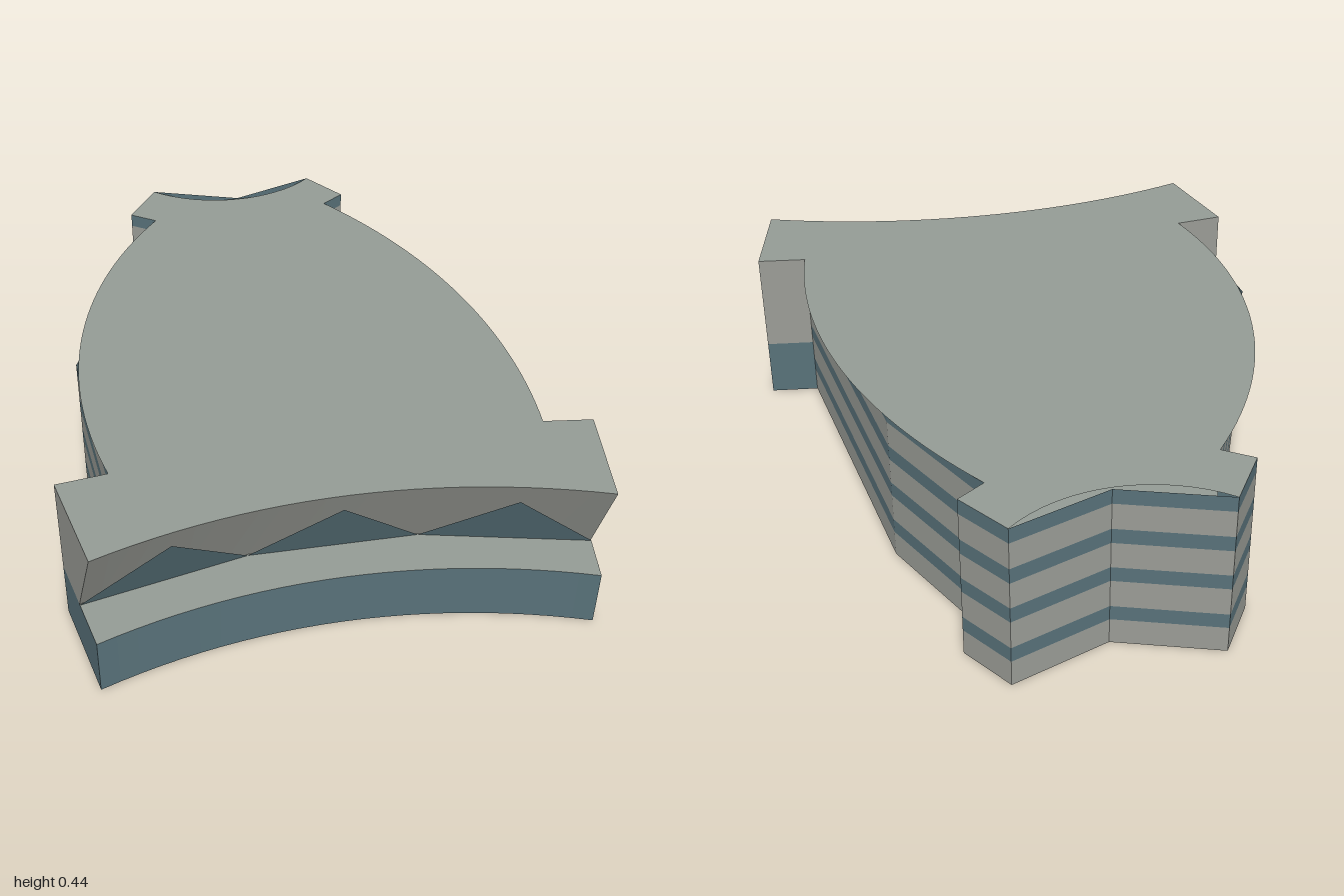
import * as THREE from 'three';

const H = 0.445, PODIUM = 0.165;
const BANDS = [0, 0.07, 0.11, 0.185, 0.225, 0.295, 0.335, 0.405, H];

const material = (name, color) =>
  new THREE.MeshStandardMaterial({ name, color, side: THREE.DoubleSide });

// Plan arc from a to b as [x, z] points, bulging by sag to the right of travel seen from above
function arc(a, b, sag, n) {
  const dx = b[0] - a[0], dz = b[1] - a[1], len = Math.hypot(dx, dz);
  const s = Math.abs(sag), r = (len * len / 4 + s * s) / (2 * s);
  const half = Math.asin(len / 2 / r);
  return Array.from({ length: n + 1 }, (_, i) => {
    const t = (i / n * 2 - 1) * half;
    const along = 0.5 + r * Math.sin(t) / len;
    const off = Math.sign(sag) * (r * Math.cos(t) - r + s) / len;
    return [a[0] + dx * along - dz * off, a[1] + dz * along + dx * off];
  });
}

// Flat-shaded quads between two rows of plan points at two heights
function strip(low, y0, high, y1) {
  const p = [];
  for (let i = 0; i < low.length - 1; i++) {
    const a = [low[i][0], y0, low[i][1]], b = [low[i + 1][0], y0, low[i + 1][1]];
    const c = [high[i + 1][0], y1, high[i + 1][1]], d = [high[i][0], y1, high[i][1]];
    p.push(...a, ...b, ...c, ...a, ...c, ...d);
  }
  return fromPoints(p);
}

function fromPoints(p) {
  const g = new THREE.BufferGeometry();
  g.setAttribute('position', new THREE.Float32BufferAttribute(p, 3));
  g.computeVertexNormals();
  return g;
}

export function createModel() {
  const group = new THREE.Group();
  const roofGrey = material('roofGrey', 0x949b95);
  const wallGrey = material('wallGrey', 0x9a9c96);
  const glassBlue = material('glassBlue', 0x587179);
  const add = (name, geometry, mat) => {
    const mesh = new THREE.Mesh(geometry, mat);
    mesh.name = name;
    group.add(mesh);
  };

  // Key corners of the plan, [x, z]
  const frontRight = [-0.83, 0.37], frontLeft = [0.33, 1];
  const innerRight = [-0.785, 0.225], innerLeft = [0.417, 0.89];
  const cheekRight = [-0.74, 0.08], cheekLeft = [0.52, 0.76];
  const notchRight = [-0.61, 0.13], notchLeft = [0.41, 0.68];
  const backNotchLeft = [0.74, -0.58], backNotchRight = [0.24, -0.84];
  const backLeft = [0.81, -0.75], backRight = [0.35, -1];
  const backCheekLeft = [0.825, -0.59], backCheekRight = [0.2, -0.92];

  const N = 24;
  const outer = arc(frontRight, frontLeft, -0.12, N);
  const inner = arc(innerRight, innerLeft, -0.12, N);

  // Banded walls around the sides and back
  const wall = [notchLeft, [0.72, -0.17], backNotchLeft, backCheekLeft, backLeft,
    [0.54, -0.79], backRight, backCheekRight, backNotchRight, [-0.41, -0.32], notchRight];
  for (let i = 0; i < BANDS.length - 1; i++) {
    const glass = i % 2 === 1;
    add(glass ? 'windowBand' : 'wallBand', strip(wall, BANDS[i], wall, BANDS[i + 1]),
      glass ? glassBlue : wallGrey);
  }

  // Glazed podium with its terrace
  const podium = [notchRight, cheekRight, ...outer, cheekLeft, notchLeft];
  add('podium', strip(podium, 0, podium, PODIUM), glassBlue);
  add('terrace', strip(outer, PODIUM, inner, PODIUM), roofGrey);

  // Leaning front and its end walls
  add('leaningFront', strip(inner, PODIUM, outer, H), wallGrey);
  add('rightEndWall', strip([notchRight, cheekRight, innerRight], PODIUM,
    [notchRight, cheekRight, frontRight], H), wallGrey);
  add('leftEndWall', strip([innerLeft, cheekLeft, notchLeft], PODIUM,
    [frontLeft, cheekLeft, notchLeft], H), wallGrey);

  // Triangular windows lying on the leaning front
  const onFront = (i, t) => [
    THREE.MathUtils.lerp(inner[i][0], outer[i][0], t) - 0.002,
    THREE.MathUtils.lerp(PODIUM, H, t),
    THREE.MathUtils.lerp(inner[i][1], outer[i][1], t) + 0.004];
  for (let k = 0; k < 3; k++) {
    const s = k * N / 3;
    add('triangleWindow', fromPoints([...onFront(s, 0), ...onFront(s + N / 3, 0),
      ...onFront(s + N / 6, 0.72)]), glassBlue);
  }

  // Curved roof sheet
  const roof = [...outer, cheekLeft, ...arc(notchLeft, backNotchLeft, 0.12, 32),
    backCheekLeft, ...arc(backLeft, backRight, -0.1, 16), backCheekRight,
    ...arc(backNotchRight, notchRight, 0.15, 32), cheekRight];
  const roofShape = new THREE.Shape(roof.map(([x, z]) => new THREE.Vector2(x, -z)));
  add('roof', new THREE.ShapeGeometry(roofShape).rotateX(-Math.PI / 2).translate(0, H, 0), roofGrey);

  // Floor
  const floor = [...outer, cheekLeft, ...wall, cheekRight];
  const floorShape = new THREE.Shape(floor.map(([x, z]) => new THREE.Vector2(x, z)));
  add('floor', new THREE.ShapeGeometry(floorShape).rotateX(Math.PI / 2), roofGrey);

  return group;
}
